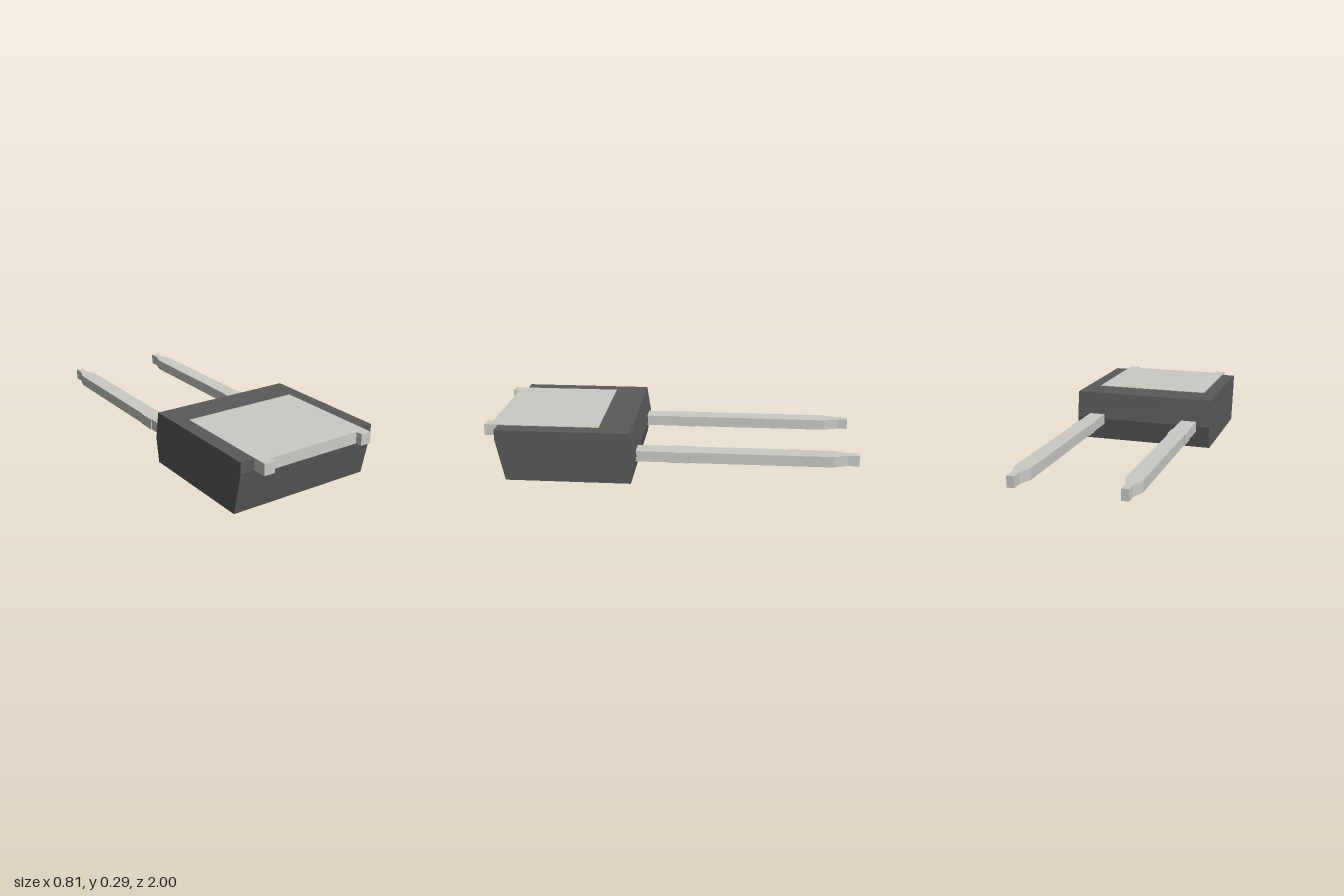
import * as THREE from 'three';

const plastic = new THREE.MeshStandardMaterial({ color: 0x5a5a5a, flatShading: true });
const metal = new THREE.MeshStandardMaterial({ color: 0xcbcbc6, flatShading: true });

// Straight extrusion of a closed outline
function extrude(points, depth) {
  const shape = new THREE.Shape(points.map(([a, b]) => new THREE.Vector2(a, b)));
  return new THREE.ExtrudeGeometry(shape, { depth, bevelEnabled: false });
}

// Flat plate from an (x, z) outline, between two heights
function plate(name, points, bottom, top) {
  const geometry = extrude(points, top - bottom);
  geometry.rotateX(Math.PI / 2).translate(0, top, 0);
  const mesh = new THREE.Mesh(geometry, metal);
  mesh.name = name;
  return mesh;
}

// Mirrors the +x half of an outline to close it
const mirrored = (half) => [...half, ...half.map(([x, z]) => [-x, z]).reverse()];

export function createModel() {
  const group = new THREE.Group();
  group.name = 'electronicComponent';

  // Moulded body: (z, y) side profile with drafted front and creased back
  const width = 0.808;
  const profile = [[0.88, 0], [0.925, 0.225], [0.925, 0.283], [0.203, 0.283], [0.18, 0.13], [0.203, 0]];
  const bodyGeometry = extrude(profile, width);
  bodyGeometry.rotateY(-Math.PI / 2).translate(width / 2, 0, 0);
  const body = new THREE.Mesh(bodyGeometry, plastic);
  body.name = 'body';
  group.add(body);

  // Heat tab with two small ears on its front edge
  const tab = mirrored([[0.327, 0.38], [0.327, 1], [0.267, 1], [0.267, 0.965]]);
  group.add(plate('heatTab', tab, 0.225, 0.286));

  // Leads: slightly wider collar, then a tapered tip
  const lead = mirrored([
    [0.045, 0.22], [0.045, 0], [0.05, 0], [0.05, -0.1],
    [0.045, -0.1], [0.045, -0.865], [0.019, -0.94], [0.019, -1],
  ]);
  for (const [name, side] of [['leftLead', 1], ['rightLead', -1]]) {
    const mesh = plate(name, lead, 0.098, 0.157);
    mesh.position.x = side * 0.282;
    group.add(mesh);
  }
  return group;
}
